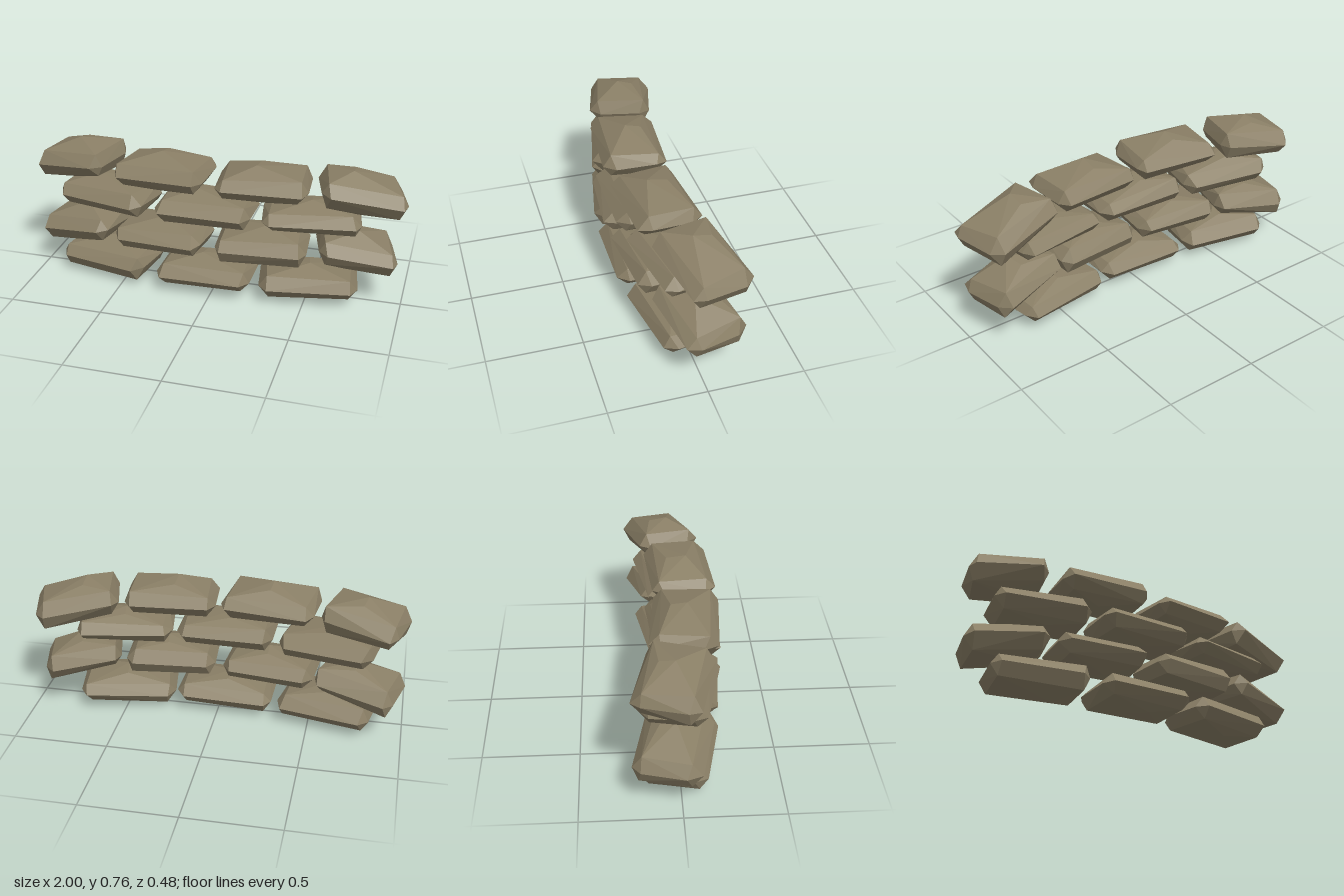
import * as THREE from 'three';
import { ConvexGeometry } from 'three/addons/geometries/ConvexGeometry.js';

// Each bag: centre x, width, bottom y, top y, tilt of the seam
const ROWS = [
  [
    [-0.6, 0.54, 0, 0.21, 0],
    [-0.04, 0.52, 0.01, 0.2, 0.05],
    [0.505, 0.55, 0, 0.2, 0],
  ],
  [
    [-0.765, 0.47, 0.15, 0.38, 0.22],
    [-0.285, 0.51, 0.19, 0.385, 0.05],
    [0.26, 0.5, 0.2, 0.4, 0],
    [0.745, 0.45, 0.18, 0.4, -0.28],
  ],
  [
    [-0.6, 0.54, 0.37, 0.575, 0],
    [-0.04, 0.52, 0.385, 0.575, 0],
    [0.51, 0.54, 0.39, 0.56, 0],
  ],
  [
    [-0.775, 0.45, 0.525, 0.755, 0.2],
    [-0.275, 0.51, 0.54, 0.76, 0.04],
    [0.26, 0.5, 0.54, 0.745, 0],
    [0.76, 0.48, 0.495, 0.735, -0.27],
  ],
];
const HALF_DEPTH = 0.175;

// Small repeatable noise source, -1 to 1
function seeded(seed) {
  return () => {
    seed = (seed * 16807) % 2147483647;
    return (seed / 2147483647) * 2 - 1;
  };
}

// Faceted pillow: a seam ring, a ring above and below it, a crown and a belly
function bagGeometry(halfLength, height, tilt, rand) {
  const points = [];
  const add = (x, y, z) => points.push(
    new THREE.Vector3(x * halfLength, y * height, z * HALF_DEPTH));

  for (const sx of [-1, 1]) {
    const seam = 0.48 + (sx * tilt) / 2;
    for (const sz of [-1, 1]) {
      add(sx, seam + rand() * 0.03, sz * (0.62 + rand() * 0.05));
      add(sx * (0.84 + rand() * 0.05), seam, sz * (0.98 + rand() * 0.03));
      add(sx * (0.85 + rand() * 0.06), seam + 0.28 + rand() * 0.05, sz * (0.7 + rand() * 0.07));
      add(sx * (0.83 + rand() * 0.06), seam - 0.29 + rand() * 0.05, sz * (0.7 + rand() * 0.07));
    }
  }
  const crown = tilt * 0.6 + rand() * 0.25;
  const belly = -tilt + rand() * 0.35;
  add(crown, 1, 0.1 + rand() * 0.1);
  add(crown * 0.6, 0.93, -0.4);
  add(belly, 0, rand() * 0.1);
  add(-belly * 0.5, 0.06, 0.35);
  return new ConvexGeometry(points);
}

export function createModel() {
  const model = new THREE.Group();
  model.name = 'sandbagWall';
  const burlap = new THREE.MeshStandardMaterial({ color: 0x8a7f66 });
  burlap.name = 'burlap';
  const rand = seeded(4127);

  ROWS.forEach((bags, r) => {
    const row = new THREE.Group();
    row.name = `row${r + 1}`;
    bags.forEach(([x, width, bottom, top, tilt], i) => {
      // The wall bows: outer bags turn and sit further back
      const yaw = x * 0.33;
      const halfLength = (width / 2 - 0.62 * HALF_DEPTH * Math.abs(Math.sin(yaw))) / Math.cos(yaw);
      const bag = new THREE.Mesh(bagGeometry(halfLength, top - bottom, tilt, rand), burlap);
      bag.name = `sandbag${r + 1}_${i + 1}`;
      bag.position.set(x, bottom, 0.06 - 0.16 * x * x);
      bag.rotation.y = yaw;
      row.add(bag);
    });
    model.add(row);
  });
  return model;
}
